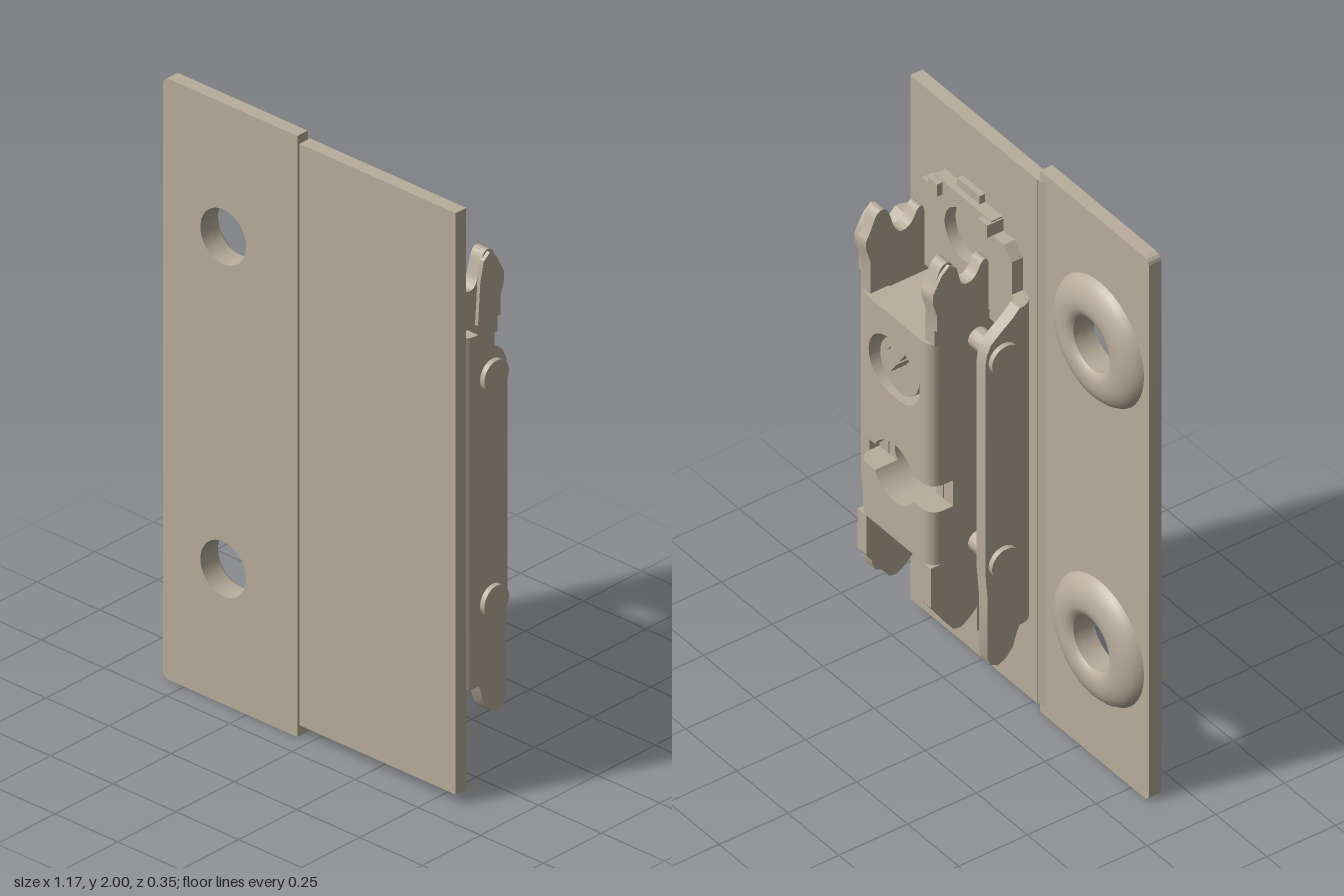
import * as THREE from 'three';
import { toCreasedNormals } from 'three/addons/utils/BufferGeometryUtils.js';

const CX = 0.26; // centre line of the latch mechanism

export function createModel() {
  const model = new THREE.Group();
  const metal = new THREE.MeshStandardMaterial({ color: 0xb8ad9c });

  const add = (name, geo) => {
    const mesh = new THREE.Mesh(toCreasedNormals(geo, 0.6), metal);
    mesh.name = name;
    model.add(mesh);
    return mesh;
  };
  const box = (name, x0, x1, y0, y1, z0, z1) =>
    add(name, new THREE.BoxGeometry(x1 - x0, y1 - y0, z1 - z0)
      .translate((x0 + x1) / 2, (y0 + y1) / 2, (z0 + z1) / 2));
  const poly = (pts) => new THREE.Shape(pts.map(([a, b]) => new THREE.Vector2(a, b)));
  const rect = (x0, x1, y0, y1) => poly([[x0, y0], [x1, y0], [x1, y1], [x0, y1]]);
  const hole = (shape, x, y, r) =>
    shape.holes.push(new THREE.Path().absarc(x, y, r, 0, Math.PI * 2, true));
  const extrude = (shape, depth) =>
    new THREE.ExtrudeGeometry(shape, { depth, bevelEnabled: false, curveSegments: 24 });
  // outline in x, y, thickness along z
  const flat = (name, shape, z0, z1) => add(name, extrude(shape, z1 - z0).translate(0, 0, z0));
  // outline in z, y, thickness along x
  const upright = (name, shape, x0, x1) =>
    add(name, extrude(shape, x1 - x0).rotateY(-Math.PI / 2).translate(x1, 0, 0));
  // outline in x, z, length along y
  const column = (name, shape, y0, y1) =>
    add(name, extrude(shape, y1 - y0).rotateX(Math.PI / 2).translate(0, y1, 0));
  // x range measured outward from the centre line, made on both sides
  const bothSides = (near, far, make) => {
    make(CX + near, CX + far, 1);
    make(CX - far, CX - near, -1);
  };

  // Mounting plate with rounded outer corners and two screw holes
  const holeX = -0.345, holeYs = [0.45, 1.555];
  const plate = new THREE.Shape();
  plate.moveTo(-0.05, 0).lineTo(-0.05, 2).lineTo(-0.555, 2);
  plate.quadraticCurveTo(-0.585, 2, -0.585, 1.97).lineTo(-0.585, 0.03);
  plate.quadraticCurveTo(-0.585, 0, -0.555, 0);
  holeYs.forEach((y) => hole(plate, holeX, y, 0.091));
  flat('mountingPlate', plate, 0.13, 0.175);

  // Raised collars round the screw holes
  const collar = [[0.215, 0], [0.207, 0.014], [0.192, 0.028], [0.17, 0.039], [0.145, 0.045],
    [0.118, 0.045], [0.1, 0.04], [0.091, 0.03], [0.091, 0]].map((p) => new THREE.Vector2(...p));
  holeYs.forEach((y) => add('screwCollar',
    new THREE.LatheGeometry(collar, 48).rotateX(-Math.PI / 2).translate(holeX, y, 0.13)));

  // Cover plate and the sloped step that joins it to the mounting plate
  box('coverPlate', -0.05, 0.572, 0.035, 1.97, 0.12, 0.165);
  column('joiningStep', poly([[-0.08, 0.132], [-0.045, 0.12], [-0.045, 0.15], [-0.08, 0.15]]), 0.035, 1.97);

  // Base of the outer bracket
  const base = poly([[0.02, 0.35], [0.06, 0.35], [0.06, 0.28], [0.12, 0.28], [0.12, 0.23],
    [0.4, 0.23], [0.4, 0.28], [0.46, 0.28], [0.46, 0.35], [0.5, 0.35], [0.5, 1.64], [0.46, 1.68],
    [0.4, 1.68], [0.4, 1.73], [0.12, 1.73], [0.12, 1.68], [0.06, 1.68], [0.02, 1.64]]);
  [0.42, 1.59].forEach((y) => hole(base, CX, y, 0.09));
  flat('bracketBase', base, 0.08, 0.12);
  box('topTab', 0.205, 0.315, 1.73, 1.76, 0.1, 0.12);
  bothSides(0.1, 0.145, (a, b) => box('topLug', a, b, 1.68, 1.725, 0.06, 0.12));
  bothSides(0.035, 0.15, (a, b) => box('bottomLug', a, b, 0.25, 0.345, 0.02, 0.09));

  // Outer bracket side walls with curved bends into the base
  const wall = poly([[0.06, 1.52], [0.03, 1.49], [-0.01, 1.46], [-0.045, 1.43], [-0.06, 1.395],
    [-0.065, 1.36], [-0.065, 0.6], [-0.057, 0.5], [-0.057, 0.28], [-0.045, 0.25], [-0.02, 0.237],
    [0.01, 0.25], [0.035, 0.28], [0.05, 0.33], [0.06, 0.35]]);
  bothSides(0.262, 0.305, (a, b, side) => {
    upright('bracketWall', wall, a, b);
    const bend = new THREE.Shape();
    const c = CX + side * 0.24;
    bend.moveTo(c, 0.12);
    bend.quadraticCurveTo(CX + side * 0.305, 0.12, CX + side * 0.305, 0.06);
    bend.lineTo(CX + side * 0.262, 0.06);
    bend.quadraticCurveTo(CX + side * 0.262, 0.08, c, 0.08);
    column('bracketBend', bend, 0.35, 1.52);
  });

  // Pins through the walls, with wide flat heads
  const pin = (name, r, x0, x1, y) => add(name, new THREE.CylinderGeometry(r, r, x1 - x0, 32)
    .rotateZ(Math.PI / 2).translate((x0 + x1) / 2, y, 0));
  [0.615, 1.365].forEach((y) => {
    bothSides(0.17, 0.31, (a, b) => pin('pinShaft', 0.035, a, b, y));
    bothSides(0.304, 0.322, (a, b) => pin('pinHead', 0.053, a, b, y));
  });

  // Hooked side walls of the inner latch
  const hook = new THREE.Shape();
  hook.moveTo(-0.06, 0.32).lineTo(-0.088, 0.325).lineTo(-0.17, 0.44).lineTo(-0.17, 0.585);
  hook.lineTo(-0.12, 0.585).lineTo(-0.12, 0.778).lineTo(-0.09, 0.778).lineTo(-0.09, 0.875);
  hook.lineTo(-0.12, 0.875).lineTo(-0.12, 1.4).lineTo(-0.157, 1.4).lineTo(-0.157, 1.52);
  hook.lineTo(-0.172, 1.57).lineTo(-0.172, 1.6);
  hook.bezierCurveTo(-0.14, 1.65, -0.145, 1.69, -0.112, 1.69);
  hook.bezierCurveTo(-0.075, 1.69, -0.085, 1.58, -0.04, 1.58);
  hook.bezierCurveTo(0.005, 1.58, 0.005, 1.64, 0.025, 1.64);
  hook.quadraticCurveTo(0.04, 1.64, 0.04, 1.61);
  hook.lineTo(0.04, 1.42).lineTo(0.08, 1.36).lineTo(0.08, 0.55).lineTo(0.03, 0.4).lineTo(-0.03, 0.34);
  bothSides(0.135, 0.18, (a, b) => upright('hookWall', hook, a, b));
  // Thickened hook tips
  const tip = poly([[-0.06, 1.46], [-0.157, 1.46], [-0.157, 1.52], [-0.172, 1.57], [-0.172, 1.6],
    [-0.14, 1.66], [-0.112, 1.685], [-0.085, 1.665], [-0.07, 1.6]]);
  bothSides(0.175, 0.192, (a, b) => upright('hookTip', tip, a, b));

  // Latch body with a screw hole, a cross slot and an oval recess
  const slotY = 0.828, slotR = 0.105, half = 0.048, edge = Math.sqrt(slotR ** 2 - half ** 2);
  const x0 = 0.13, x1 = 0.39;
  const core = rect(x0, x1, 0.585, 1.4);
  hole(core, CX, slotY, slotR);
  flat('latchCore', core, -0.09, 0.08);

  const ang = Math.asin(half / slotR);
  const lower = new THREE.Shape();
  lower.moveTo(x0, 0.585).lineTo(x1, 0.585).lineTo(x1, slotY - half).lineTo(CX + edge, slotY - half);
  lower.absarc(CX, slotY, slotR, -ang, -Math.PI + ang, true);
  lower.lineTo(x0, slotY - half);
  flat('latchFaceLower', lower, -0.17, -0.09);

  const upper = new THREE.Shape();
  upper.moveTo(x1, 1.4).lineTo(x0, 1.4).lineTo(x0, slotY + half).lineTo(CX - edge, slotY + half);
  upper.absarc(CX, slotY, slotR, Math.PI - ang, ang, true);
  upper.lineTo(x1, slotY + half);
  const oval = new THREE.Path();
  oval.absarc(CX - 0.025, 1.21, 0.1, Math.PI * 1.5, Math.PI * 0.5, true);
  oval.absarc(CX + 0.025, 1.21, 0.1, Math.PI * 0.5, -Math.PI * 0.5, true);
  upper.holes.push(oval);
  flat('latchFaceUpper', upper, -0.17, -0.09);

  // Rounded long edges of the latch, broken by the cross slot
  bothSides(0.13, 0.18, (a, b, side) => {
    const corner = new THREE.Shape();
    corner.moveTo(CX + side * 0.13, -0.09).lineTo(CX + side * 0.13, -0.17);
    corner.quadraticCurveTo(CX + side * 0.18, -0.17, CX + side * 0.18, -0.12);
    corner.lineTo(CX + side * 0.18, -0.09);
    [[0.585, slotY - half], [slotY + half, 1.4]].forEach(([lo, hi]) => column('latchEdge', corner, lo, hi));
  });

  // Adjusting screw: a disc with a cross cut out of its head
  const w = 0.012, l = 0.065;
  const head = new THREE.Shape().absarc(0, 0, 0.095, 0, Math.PI * 2);
  head.holes.push(new THREE.Path([[l, w], [w, w], [w, l], [-w, l], [-w, w], [-l, w], [-l, -w],
    [-w, -w], [-w, -l], [w, -l], [w, -w], [l, -w]].map((p) => new THREE.Vector2(...p))));
  add('adjustingScrew', extrude(head, 0.06).rotateZ(0.6).translate(CX, 1.21, -0.15));

  return model;
}
